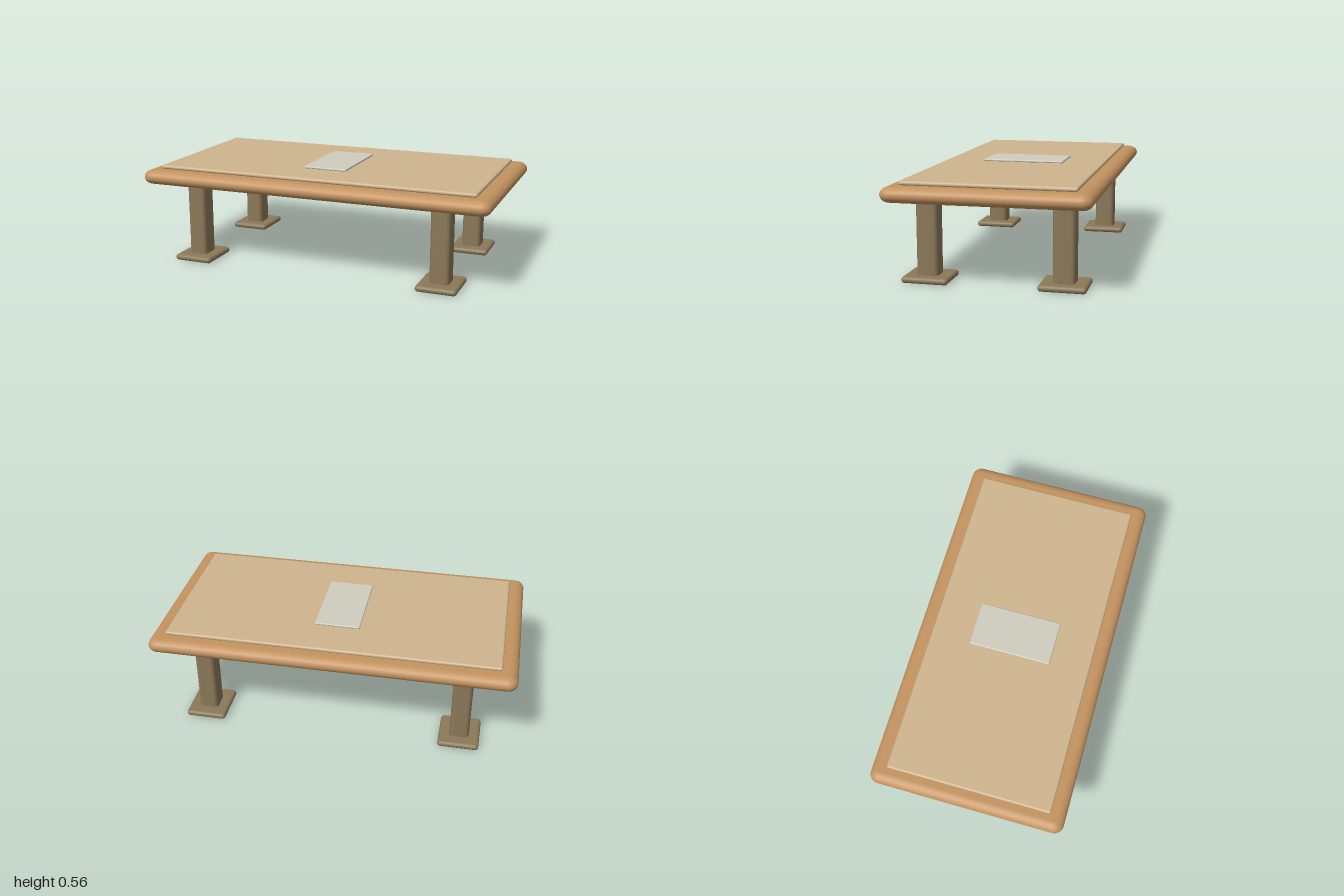
import * as THREE from 'three';
import { RoundedBoxGeometry } from 'three/addons/geometries/RoundedBoxGeometry.js';

const material = (name, color) => {
  const m = new THREE.MeshStandardMaterial({ color });
  m.name = name;
  return m;
};

// Rounded slab standing on yBottom; rh and rv are the horizontal and vertical edge radii
function roundedPart(name, mat, [w, d], [yBottom, yTop], rh, rv) {
  const h = yTop - yBottom;
  const s = rh / rv;
  const geo = new RoundedBoxGeometry(w / s, h, d / s, 5, Math.min(rv, h / 2));
  geo.scale(s, 1, s);
  // Restore true normals after the uneven scale
  const n = geo.attributes.normal;
  const v = new THREE.Vector3();
  for (let i = 0; i < n.count; i++) {
    v.fromBufferAttribute(n, i).normalize();
    n.setXYZ(i, v.x, v.y, v.z);
  }
  const mesh = new THREE.Mesh(geo, mat);
  mesh.name = name;
  mesh.position.y = (yBottom + yTop) / 2;
  return mesh;
}

export function createModel() {
  const frameWood = material('warm wood', 0xc4935f);
  const panelWood = material('pale wood', 0xcfb58f);
  const legWood = material('dark olive wood', 0x8b7858);
  const plateGrey = material('pale grey', 0xcfccbf);

  const table = new THREE.Group();
  table.name = 'table';

  // Layered top
  table.add(
    roundedPart('tableTop', frameWood, [2, 1.07], [0.446, 0.528], 0.053, 0.041),
    roundedPart('topPanel', panelWood, [1.83, 0.905], [0.528, 0.55], 0.011, 0.01),
    roundedPart('centrePlate', plateGrey, [0.252, 0.46], [0.549, 0.562], 0.006, 0.006),
  );

  // Four legs, each with a foot
  for (const x of [-0.72, 0.72]) {
    for (const z of [-0.36, 0.36]) {
      const leg = new THREE.Group();
      leg.name = `${z > 0 ? 'front' : 'back'}${x > 0 ? 'Left' : 'Right'}Leg`;
      leg.add(
        roundedPart('post', legWood, [0.108, 0.117], [0.005, 0.447], 0.024, 0.03),
        roundedPart('foot', legWood, [0.225, 0.25], [0, 0.034], 0.018, 0.016),
      );
      leg.position.set(x, 0, z);
      table.add(leg);
    }
  }
  return table;
}
